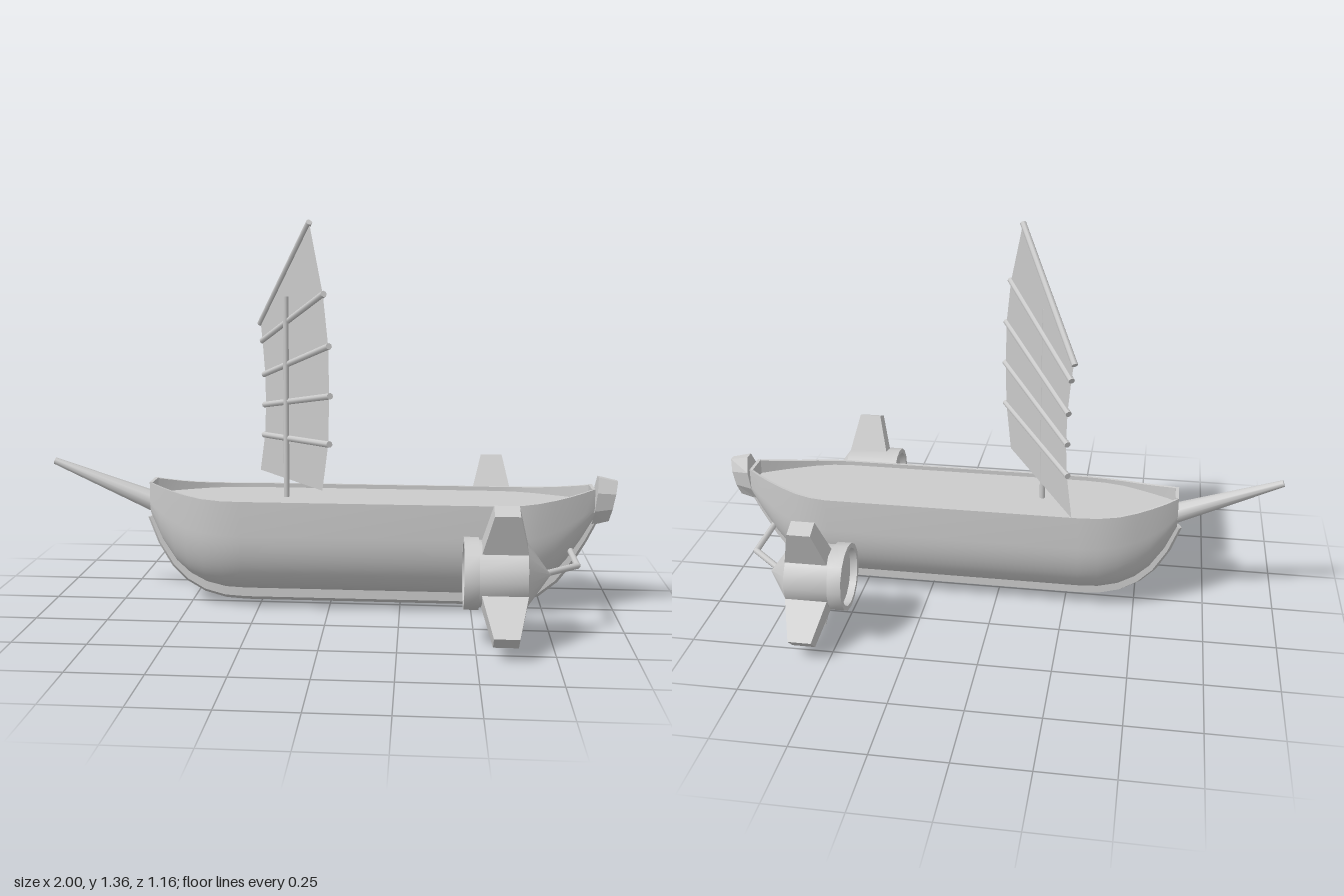
import * as THREE from 'three';
import { toCreasedNormals, mergeVertices } from 'three/addons/utils/BufferGeometryUtils.js';

const material = new THREE.MeshStandardMaterial({ color: 0xcccccc, side: THREE.DoubleSide });
const V = (x, y, z) => new THREE.Vector3(x, y, z);

function part(group, name, geometry) {
  const mesh = new THREE.Mesh(geometry, material);
  mesh.name = name;
  group.add(mesh);
  return mesh;
}

// Skin closed rings of points and cap both ends; faces are turned outward by signed volume
function loft(rings, crease = 0.55) {
  const tris = [];
  const n = rings[0].length;
  for (let i = 0; i < rings.length - 1; i++) {
    for (let j = 0; j < n; j++) {
      const k = (j + 1) % n, a = rings[i], b = rings[i + 1];
      tris.push([a[j], b[j], b[k]], [a[j], b[k], a[k]]);
    }
  }
  const cap = (ring, flip) => {
    const c = ring.reduce((s, p) => s.add(p), V(0, 0, 0)).divideScalar(n);
    ring.forEach((p, j) => {
      const q = ring[(j + 1) % n];
      tris.push(flip ? [c, q, p] : [c, p, q]);
    });
  };
  cap(rings[0], false);
  cap(rings[rings.length - 1], true);
  const volume = tris.reduce((s, [a, b, c]) => s + a.dot(b.clone().cross(c)), 0);
  const points = tris.flatMap(t => (volume < 0 ? [t[0], t[2], t[1]] : t));
  const geometry = new THREE.BufferGeometry().setFromPoints(points);
  return toCreasedNormals(geometry, crease);
}

// Round bar between two points
function rod(group, name, a, b, r0, r1 = r0, sides = 8) {
  const dir = b.clone().sub(a);
  const geometry = new THREE.CylinderGeometry(r1, r0, dir.length(), sides);
  const mesh = part(group, name, geometry);
  mesh.position.copy(a).lerp(b, 0.5);
  mesh.quaternion.setFromUnitVectors(V(0, 1, 0), dir.normalize());
}

// Hull stations: x, half width, bottom height
const STATIONS = [
  [-0.64, 0.045, 0.315], [-0.6, 0.072, 0.225], [-0.55, 0.098, 0.15], [-0.5, 0.122, 0.106],
  [-0.44, 0.147, 0.076], [-0.37, 0.162, 0.06], [-0.3, 0.168, 0.057], [0.6, 0.168, 0.057],
  [0.66, 0.161, 0.062], [0.72, 0.144, 0.082], [0.78, 0.118, 0.125], [0.83, 0.095, 0.185],
  [0.88, 0.068, 0.26], [0.92, 0.045, 0.33],
];
const DECK = 0.39;
const sheer = x => 0.405 + 0.039 * Math.max(0, (-0.36 - x) / 0.28, (x - 0.6) / 0.32) ** 2;

function buildHull(ship) {
  const rings = STATIONS.map(([x, w, bottom]) => {
    const top = sheer(x), centre = bottom + (0.405 - bottom) * 0.65;
    const half = [];
    for (let i = 1; i <= 12; i++) {
      const a = (i / 12) * Math.PI / 2;
      half.push([w * Math.sin(a), centre - (centre - bottom) * Math.cos(a)]);
    }
    // rim and inner bulwark down to the deck
    half.push([w, top], [w - 0.011, top], [w - 0.011, DECK]);
    const left = half.map(([z, y]) => V(x, y, z));
    const right = half.map(([z, y]) => V(x, y, -z)).reverse();
    return [V(x, bottom, 0), ...left, ...right];
  });
  part(ship, 'hull', loft(rings));

  // End walls closing the bulwark
  for (const [x, sign] of [[-0.64, 1], [0.92, -1]]) {
    const wall = part(ship, 'endWall', new THREE.BoxGeometry(0.012, sheer(x) - 0.36, 0.09));
    wall.position.set(x + sign * 0.006, (sheer(x) + 0.36) / 2, 0);
  }

  // Keel: a band with a V-shaped underside following the hull bottom
  const keel = STATIONS.map(([x, w, y], i) => {
    const p = STATIONS[Math.max(i - 1, 0)], q = STATIONS[Math.min(i + 1, STATIONS.length - 1)];
    const len = Math.hypot(q[0] - p[0], q[2] - p[2]);
    const nx = (q[2] - p[2]) / len, ny = -(q[0] - p[0]) / len;
    const s = (w - 0.045) / 0.123;
    const width = 0.015 + 0.03 * s, depth = 0.02 + 0.027 * s;
    const at = (d, z) => V(x + nx * d, y + ny * d, z);
    return [at(-0.012, width), at(depth * 0.5, width), at(depth, 0), at(depth * 0.5, -width), at(-0.012, -width)];
  });
  part(ship, 'keel', loft(keel, 0.5));
}

// Tapered spar at one end, faceted block at the other
function buildEnds(ship) {
  rod(ship, 'bowsprit', V(-0.62, 0.36, 0), V(-0.995, 0.508, 0), 0.037, 0.012, 10);
  const outline = [[0.018, 0.48], [0.048, 0.43], [0.045, 0.365], [0.014, 0.31]];
  const loop = [...outline, ...outline.map(([z, y]) => [-z, y]).reverse()];
  const back = loop.map(([z, y]) => V(0.914 + (y - 0.31) * 0.12, y, z));
  const front = loop.map(([z, y]) => V(0.976 + (y - 0.32) * 0.16, 0.395 + (y - 0.395) * 0.83, z * 0.65));
  part(ship, 'sternBlock', loft([back, front], 0.1));
}

// Battened sail set at an angle to the hull; coordinates are (z, y) in the sail plane
function buildSail(ship) {
  const onSail = (z, y) => V(-0.146 + 0.577 * z, y, z);
  const outline = [
    [0.15, 1.355], [0.245, 1.115], [0.28, 0.95], [0.286, 0.79], [0.28, 0.63], [0.24, 0.465],
    [-0.235, 0.44], [-0.195, 0.58], [-0.185, 0.695], [-0.19, 0.81], [-0.21, 0.93], [-0.225, 0.995],
  ];
  const geometry = new THREE.ShapeGeometry(new THREE.Shape(outline.map(([z, y]) => new THREE.Vector2(z, y))));
  const pos = geometry.attributes.position;
  for (let i = 0; i < pos.count; i++) {
    const p = onSail(pos.getX(i), pos.getY(i));
    pos.setXYZ(i, p.x, p.y, p.z);
  }
  geometry.computeVertexNormals();
  part(ship, 'sail', geometry);

  const battens = [
    [0.152, 1.352, -0.23, 0.99], [0.25, 1.12, -0.212, 0.928], [0.284, 0.952, -0.198, 0.805],
    [0.292, 0.79, -0.196, 0.693], [0.288, 0.63, -0.202, 0.58],
  ];
  for (const [z0, y0, z1, y1] of battens) rod(ship, 'batten', onSail(z0, y0), onSail(z1, y1), 0.011);
  rod(ship, 'mast', V(-0.156, 0.38, 0), V(-0.156, 1.1, 0), 0.01);
}

// Finned pod on a bent strut
function buildPod(ship, side) {
  const pod = new THREE.Group();
  pod.name = side > 0 ? 'leftPod' : 'rightPod';
  ship.add(pod);
  const cy = 0.235, cz = 0.388;

  // Ring, recessed disc, body and nose cone
  const profile = [
    [0, 0.485], [0.1, 0.485], [0.1, 0.46], [0.117, 0.46], [0.117, 0.508],
    [0.108, 0.508], [0.108, 0.66], [0, 0.738],
  ].map(([r, x]) => new THREE.Vector2(r, x));
  const body = new THREE.LatheGeometry(profile, 16);
  body.rotateZ(-Math.PI / 2);
  body.translate(0, cy, cz * side);
  part(pod, 'podBody', toCreasedNormals(body, 0.5));

  // Fins: angle, tip radius, half thickness at base and tip, x range at base and tip
  const fins = [
    [68, 0.243, 0.036, 0.03, 0.512, 0.665, 0.55, 0.63],
    [-46, 0.243, 0.038, 0.03, 0.512, 0.665, 0.55, 0.63],
    [-101, 0.237, 0.008, 0.006, 0.53, 0.66, 0.57, 0.625],
  ];
  for (const [deg, tip, t0, t1, a0, b0, a1, b1] of fins) {
    const a = THREE.MathUtils.degToRad(deg), c = Math.cos(a), s = Math.sin(a);
    const ring = (r, t, x0, x1) => [[x0, -t], [x1, -t], [x1, t], [x0, t]]
      .map(([x, u]) => V(x, cy + r * s + u * c, side * (cz + r * c - u * s)));
    part(pod, 'fin', loft([ring(0.085, t0, a0, b0), ring(tip, t1, a1, b1)], 0.1));
  }

  const elbow = V(0.838, 0.23, 0.255 * side);
  rod(pod, 'strutArm', V(0.69, 0.23, 0.39 * side), elbow, 0.011);
  rod(pod, 'strut', elbow, V(0.838, 0.23, 0.03 * side), 0.011);
  const joint = part(pod, 'strutElbow', new THREE.SphereGeometry(0.011, 8, 6));
  joint.position.copy(elbow);
}

export function createModel() {
  const ship = new THREE.Group();
  ship.name = 'sailingShip';
  buildHull(ship);
  buildEnds(ship);
  buildSail(ship);
  for (const side of [1, -1]) buildPod(ship, side);
  return ship;
}
